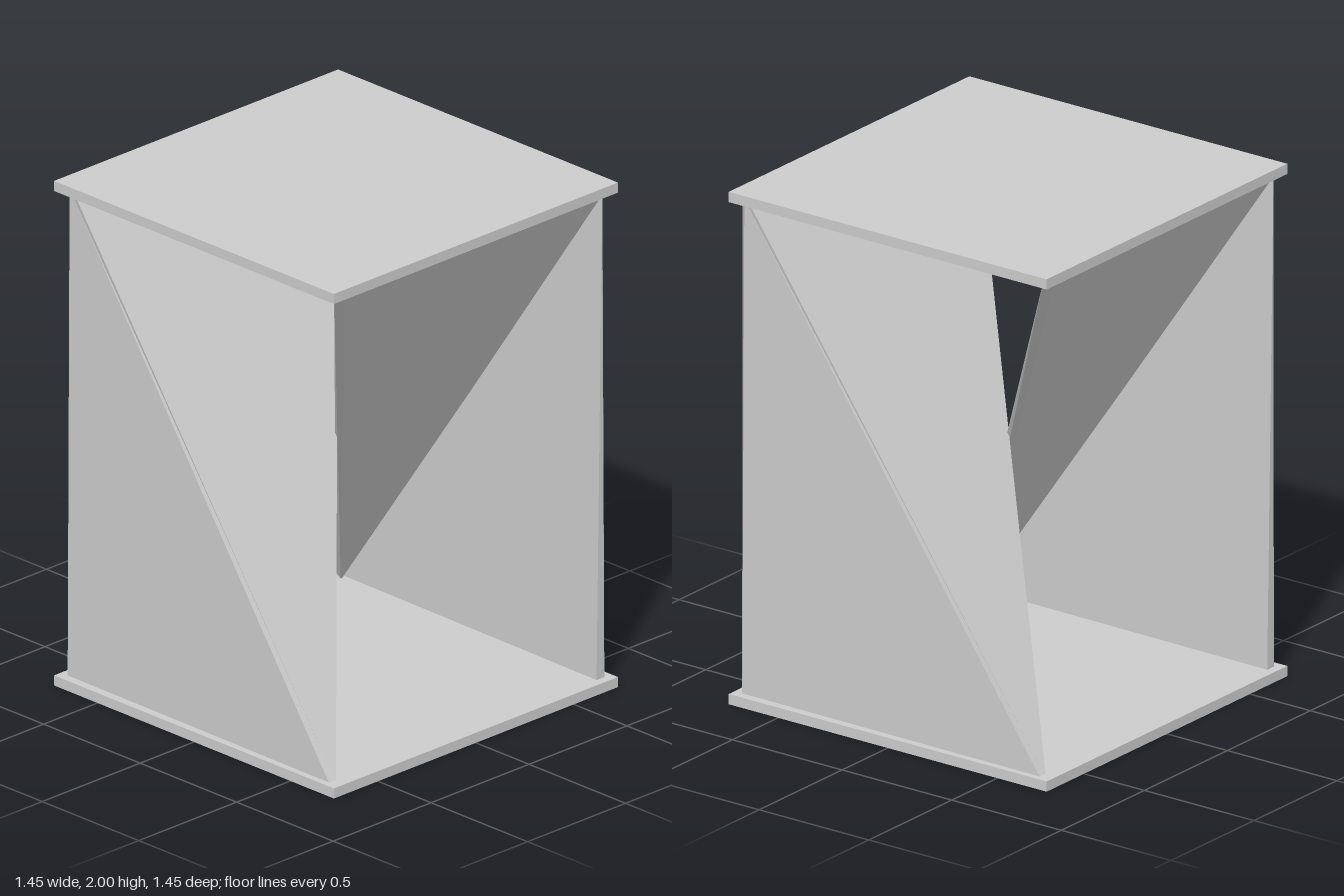
import * as THREE from 'three';
import { ConvexGeometry } from 'three/addons/geometries/ConvexGeometry.js';

const PLATE = 1.45, THICK = 0.04;
const LOW = 0.03, HIGH = 1.97; // panel ends, just inside the plates

export function createModel() {
  const group = new THREE.Group();
  const material = new THREE.MeshStandardMaterial({ color: 0xcccccc, flatShading: true });

  function add(name, geometry, parent = group) {
    const mesh = new THREE.Mesh(geometry, material);
    mesh.name = name;
    parent.add(mesh);
    return mesh;
  }

  // Triangular slab spanned by its outer and inner corners
  const slab = (...corners) => new ConvexGeometry(corners.map((c) => new THREE.Vector3(...c)));

  // Square top and base plates
  const plate = new THREE.BoxGeometry(PLATE, THICK, PLATE);
  add('topPlate', plate).position.y = 2 - THICK / 2;
  add('basePlate', plate).position.y = THICK / 2;

  // Two folded supports, the second turned half way round
  for (let i = 0; i < 2; i++) {
    const support = new THREE.Group();
    support.name = i ? 'backSupport' : 'frontSupport';
    support.rotation.y = i * Math.PI;
    group.add(support);

    // Upright triangle: vertical edge at the front, full width at the base
    add('sidePanel', slab(
      [0.69, HIGH, 0.68], [0.69, LOW, 0.69], [0.7, LOW, -0.68],
      [0.655, HIGH, 0.715], [0.65, LOW, 0.69], [0.665, LOW, -0.68],
    ), support);

    // Leaning triangle: full width at the top, point at the far base corner
    add('slantedPanel', slab(
      [-0.66, HIGH, 0.715], [0.675, HIGH, 0.715], [0.645, LOW, -0.63],
      [-0.67, HIGH, 0.67], [0.685, HIGH, 0.67], [0.67, LOW, -0.68],
    ), support);
  }
  return group;
}
